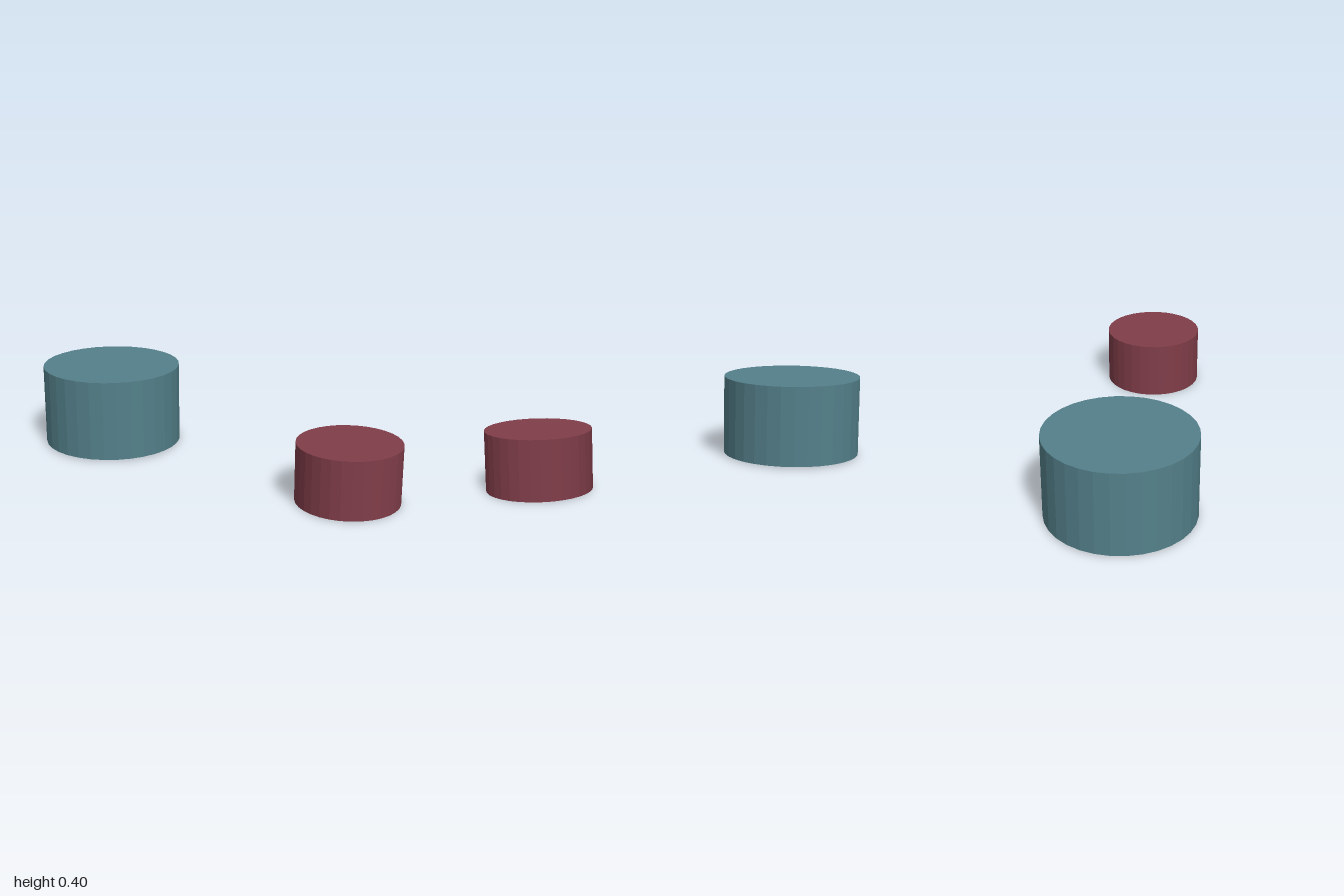
import * as THREE from 'three';

// Hollow cap, closed at the top and open underneath, 32 flat facets
function createCap(name, color, radius, height, wall, lid) {
  const inner = radius - wall;
  const profile = [
    [0, height - lid],
    [inner, height - lid],
    [inner, 0],
    [radius, 0],
    [radius, height],
    [0, height],
  ].map(([x, y]) => new THREE.Vector2(x, y));
  const material = new THREE.MeshStandardMaterial({ color, flatShading: true });
  const cap = new THREE.Mesh(new THREE.LatheGeometry(profile, 32), material);
  cap.name = name;
  return cap;
}

export function createModel() {
  const model = new THREE.Group();
  model.name = 'caps';

  // Large teal cap, raised very slightly
  const largeCap = createCap('largeCap', 0x54808a, 0.346, 0.397, 0.021, 0.1);
  largeCap.position.set(-0.654, 0.005, 0);

  // Small red cap
  const smallCap = createCap('smallCap', 0x803d49, 0.242, 0.277, 0.015, 0.07);
  smallCap.position.set(0.758, 0, 0);

  model.add(largeCap, smallCap);
  return model;
}
